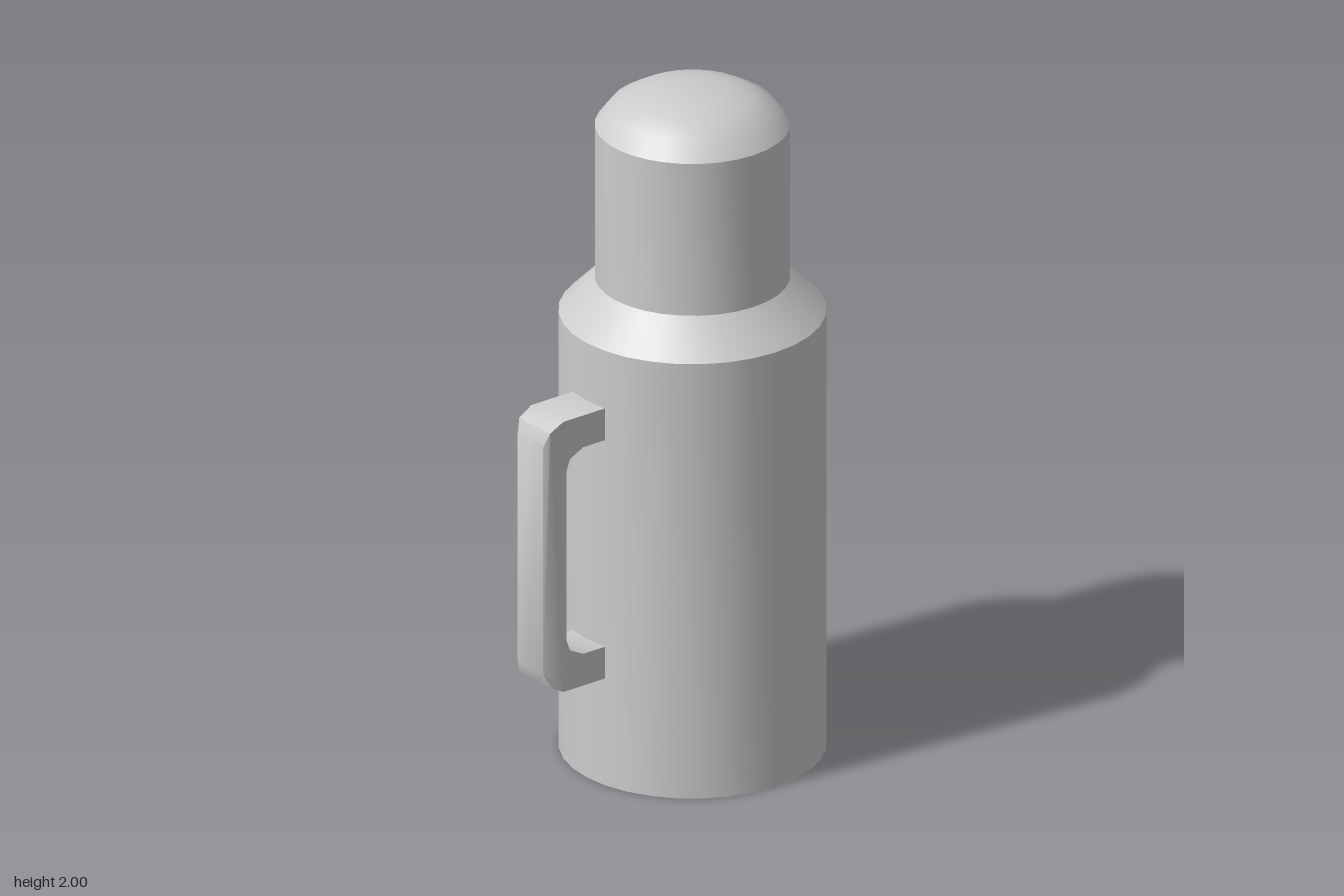
import * as THREE from 'three';
import { toCreasedNormals } from 'three/addons/utils/BufferGeometryUtils.js';

const AXIS_X = 0.102; // the flask axis sits off centre to make room for the handle
const CREASE = 0.55;

function lathe(name, profile, material) {
  const points = profile.map(([r, y]) => new THREE.Vector2(r, y));
  const geometry = toCreasedNormals(new THREE.LatheGeometry(points, 32), CREASE);
  const mesh = new THREE.Mesh(geometry, material);
  mesh.name = name;
  mesh.position.x = AXIS_X;
  return mesh;
}

// C-shaped handle, slightly rounded across its outer face
function handleGeometry() {
  const midY = 0.7375, inset = -0.25;
  // upper half relative to the mid height; the lower half is mirrored
  const outer = [[inset, 0.412], [-0.41, 0.412], [-0.455, 0.387], [-0.475, 0.345]];
  const inner = [[-0.4, 0.255], [-0.387, 0.292], [-0.34, 0.315], [inset, 0.315]];
  const flip = (list) => list.map(([x, y]) => [x, -y]).reverse();
  const outline = [...outer, ...flip(outer), ...flip(inner), ...inner];
  const shape = new THREE.Shape(outline.map(([x, y]) => new THREE.Vector2(x, y + midY)));
  const geometry = new THREE.ExtrudeGeometry(shape, { depth: 0.144, steps: 2, bevelEnabled: false });
  geometry.translate(0, 0, -0.072);

  // narrow the grip towards the outside and bow its outer face
  const p = geometry.attributes.position;
  for (let i = 0; i < p.count; i++) {
    const x = p.getX(i), z = p.getZ(i);
    if (x < -0.47) {
      p.setZ(i, z * 0.8);
      p.setX(i, Math.abs(z) < 0.01 ? -0.477 : -0.47);
    } else if (x < -0.45) {
      p.setZ(i, z * 0.96);
    }
  }
  return toCreasedNormals(geometry, CREASE);
}

export function createModel() {
  const group = new THREE.Group();
  group.name = 'flask';
  const grey = new THREE.MeshStandardMaterial({ color: 0xcccccc });
  grey.name = 'light grey';

  // Main cylinder with sloping shoulder
  group.add(lathe('body', [[0, 0], [0.373, 0], [0.373, 1.325], [0.272, 1.427]], grey));

  // Cup lid with shallow dome
  group.add(lathe('cap', [
    [0.272, 1.427], [0.272, 1.89], [0.232, 1.943], [0.175, 1.976], [0.105, 1.997], [0, 2],
  ], grey));

  // Side handle
  const handle = new THREE.Mesh(handleGeometry(), grey);
  handle.name = 'handle';
  group.add(handle);

  return group;
}
